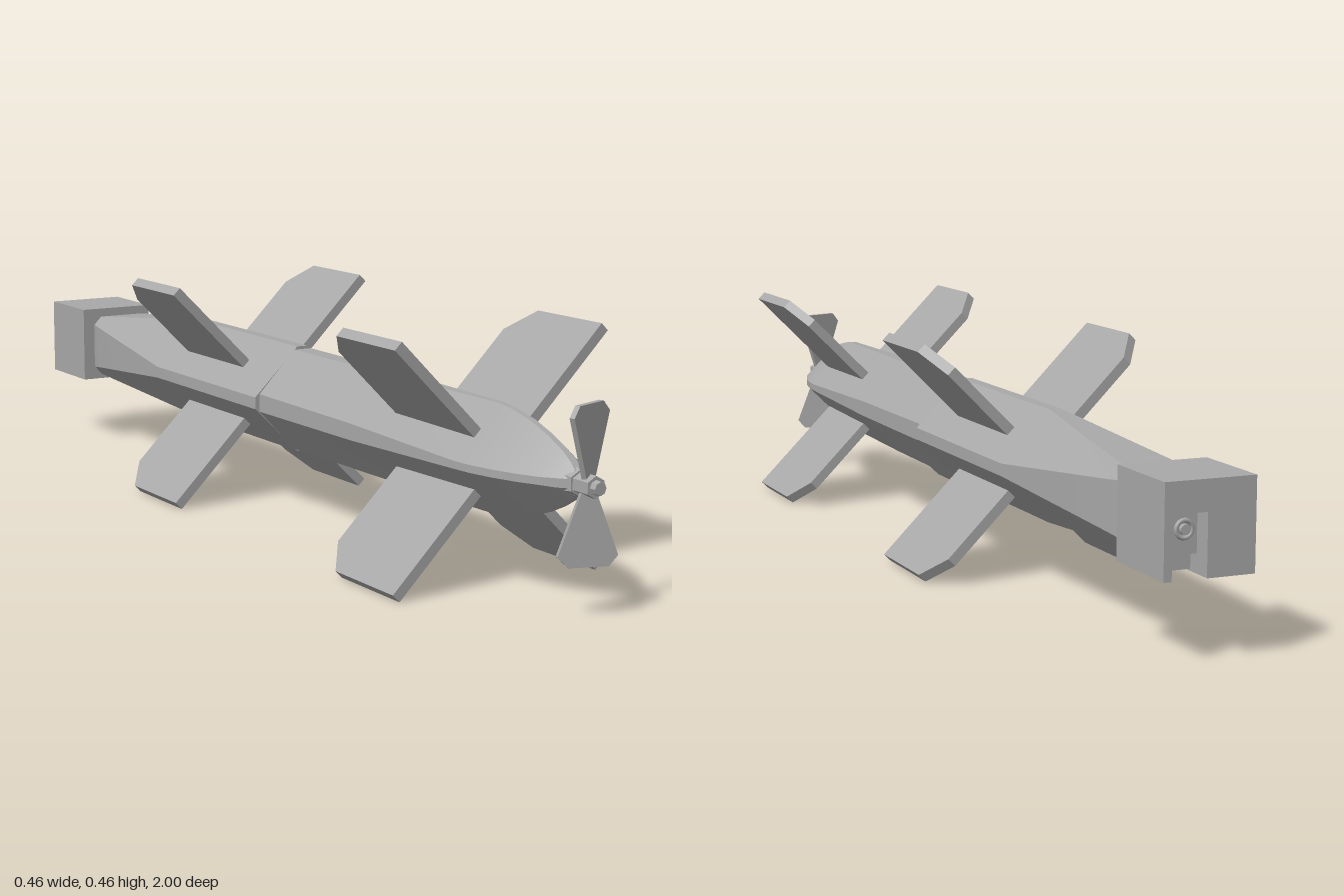
import * as THREE from 'three';
import { toCreasedNormals } from 'three/addons/utils/BufferGeometryUtils.js';

const CY = 0.232; // height of the body axis

// Eight-sided ring: half width w, half height h, half top flat fx, half side flat fy
function ring([z, w, h, fx, fy]) {
  return [[w, fy], [fx, h], [-fx, h], [-w, fy], [-w, -fy], [-fx, -h], [fx, -h], [w, -fy]]
    .map(([x, y]) => [x, y, z]);
}

// Skin through rings ordered from the back (-z) to the front (+z), with end caps
function loft(sections) {
  const rings = sections.map(ring);
  const pos = [];
  const tri = (a, b, c) => pos.push(...a, ...b, ...c);
  for (let i = 0; i < rings.length - 1; i++) {
    const a = rings[i], b = rings[i + 1];
    for (let j = 0; j < 8; j++) {
      const k = (j + 1) % 8;
      tri(a[j], a[k], b[k]);
      tri(a[j], b[k], b[j]);
    }
  }
  const back = rings[0], front = rings[rings.length - 1];
  for (let j = 1; j < 7; j++) {
    tri(back[0], back[j + 1], back[j]);
    tri(front[0], front[j], front[j + 1]);
  }
  const g = new THREE.BufferGeometry();
  g.setAttribute('position', new THREE.Float32BufferAttribute(pos, 3));
  g.computeVertexNormals();
  return toCreasedNormals(g, 0.35);
}

function plate(points, depth) {
  const shape = new THREE.Shape(points.map(([x, y]) => new THREE.Vector2(x, y)));
  return new THREE.ExtrudeGeometry(shape, { depth, bevelEnabled: false });
}

export function createModel() {
  const model = new THREE.Group();
  model.name = 'tubeLaunchedDrone';
  const grey = new THREE.MeshStandardMaterial({ color: 0xa8a8a8 });
  grey.name = 'grey';

  const add = (name, geometry, x = 0, y = 0, z = 0, parent = model) => {
    const m = new THREE.Mesh(geometry, grey);
    m.name = name;
    m.position.set(x, y, z);
    parent.add(m);
    return m;
  };
  // Cylinder lying along z
  const rod = (name, rFront, rBack, length, sides, x, y, z) => {
    const g = new THREE.CylinderGeometry(rFront, rBack, length, sides).rotateX(Math.PI / 2);
    return add(name, toCreasedNormals(g, 0.6), x, y, z);
  };

  // Fuselage: tapered tail, wide rear section, slimmer front section and nose
  add('rearFuselage', loft([
    [-0.84, 0.055, 0.055, 0.042, 0.042],
    [-0.825, 0.06, 0.06, 0.045, 0.045],
    [-0.805, 0.069, 0.068, 0.052, 0.05],
    [-0.77, 0.073, 0.072, 0.048, 0.046],
    [-0.4, 0.11, 0.108, 0.012, 0.012],
    [0.033, 0.11, 0.108, 0.012, 0.012],
  ]), 0, CY, 0);
  add('frontFuselage', loft([
    [0.02, 0.1, 0.102, 0.02, 0.018],
    [0.38, 0.101, 0.102, 0.016, 0.016],
    [0.72, 0.101, 0.101, 0.006, 0.007],
    [0.76, 0.097, 0.096, 0.006, 0.007],
    [0.81, 0.086, 0.085, 0.006, 0.007],
    [0.86, 0.069, 0.068, 0.006, 0.007],
    [0.9, 0.05, 0.05, 0.006, 0.007],
    [0.925, 0.035, 0.035, 0.007, 0.008],
    [0.94, 0.022, 0.022, 0.008, 0.008],
  ]), 0, CY, 0);

  // Two sets of four wings in an X, with the rear tip corner cut
  const wingShape = [[0.07, 0.122], [0.07, -0.122], [0.258, -0.122], [0.313, -0.067], [0.313, 0.122]];
  const wingGeometry = plate(wingShape, 0.02).rotateX(Math.PI / 2).translate(0, 0.01, 0);
  for (const [set, z] of [['front', 0.602], ['rear', -0.212]]) {
    for (let i = 0; i < 4; i++) {
      const wing = add(set + 'Wing' + (i + 1), wingGeometry, 0, 0.23, z);
      wing.rotation.z = Math.PI / 4 + i * Math.PI / 2;
    }
  }

  // Propeller: hub, spinner and two pitched blades
  rod('motorCollar', 0.024, 0.03, 0.03, 6, 0, CY, 0.932);
  rod('propellerHub', 0.02, 0.02, 0.045, 6, 0, CY, 0.965);
  rod('spinner', 0.012, 0.014, 0.02, 8, 0, CY, 0.99);
  const bladeGeometry = plate([
    [-0.012, 0.008], [0.012, 0.008], [0.053, 0.121], [0.033, 0.14], [-0.038, 0.14], [-0.054, 0.121],
  ], 0.01).translate(0, 0, -0.005).rotateY(0.33);
  for (let i = 0; i < 2; i++) {
    add('propellerBlade' + (i + 1), bladeGeometry, 0, CY, 0.967).rotation.z = i * Math.PI;
  }

  // Sensor housing: solid front half, rear half with a slot open at the back and below
  add('sensorHousingFront', new THREE.BoxGeometry(0.17, 0.166, 0.09), 0, CY, -0.875);
  add('sensorHousingRear', plate([
    [-0.085, -0.083], [0.005, -0.083], [0.005, 0.028], [0.07, 0.028],
    [0.07, -0.083], [0.085, -0.083], [0.085, 0.083], [-0.085, 0.083],
  ], 0.08), 0, CY, -1);

  // Camera hanging inside the slot
  add('cameraBody', new THREE.BoxGeometry(0.05, 0.07, 0.055), 0.0375, 0.222, -0.95);
  add('cameraMount', new THREE.BoxGeometry(0.035, 0.03, 0.05), 0.0375, 0.175, -0.945);
  add('lensRing', new THREE.TorusGeometry(0.015, 0.004, 8, 20), 0.0375, 0.23, -0.979);
  rod('lens', 0.009, 0.009, 0.012, 16, 0.0375, 0.23, -0.98);

  return model;
}
